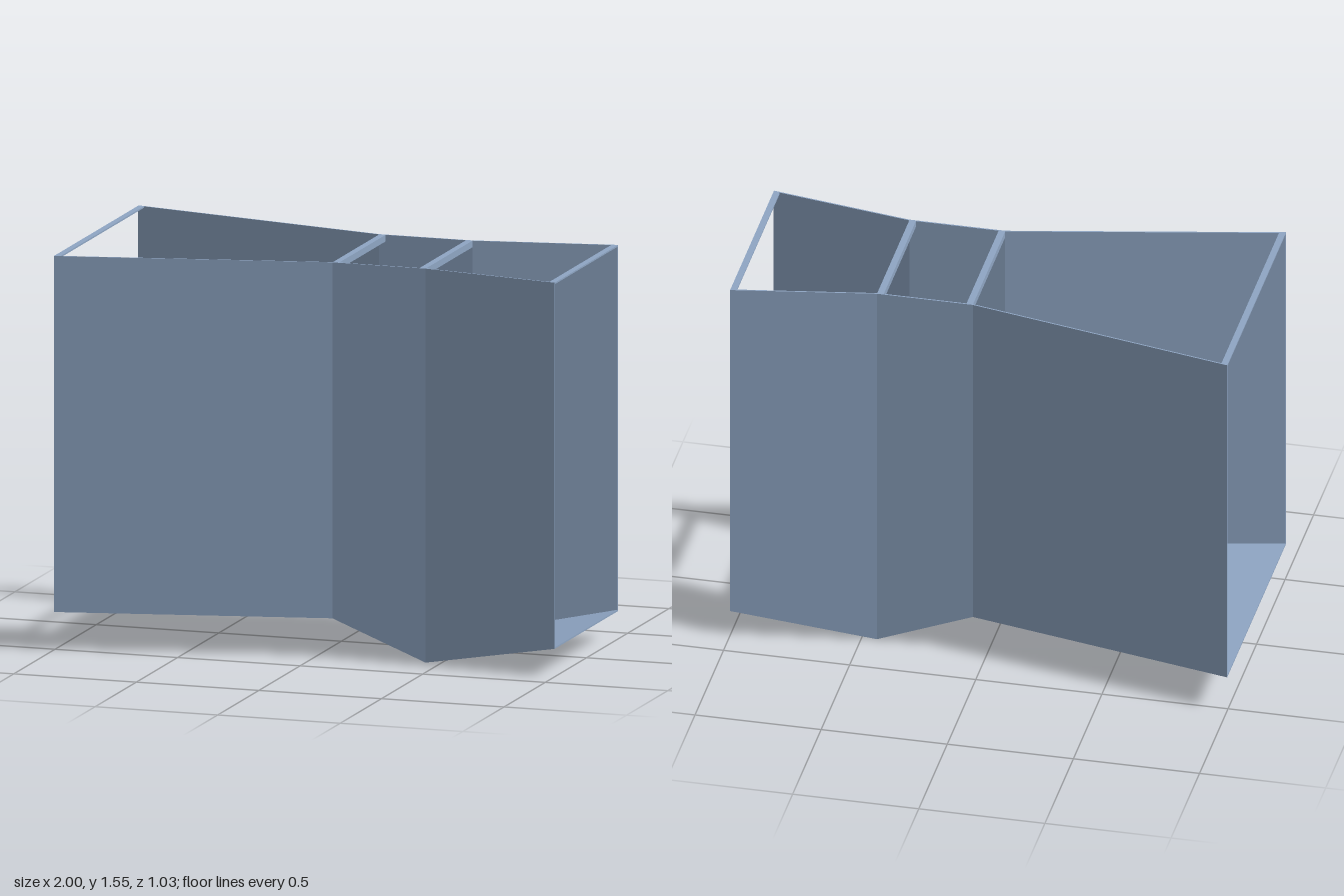
import * as THREE from 'three';

const TOP = 1.555, T = 0.006;

// Stations along the channel: x, outer half width, underside height
const stations = [
  { x: -1, w: 0.515, y: 0.15 },
  { x: 0.06, w: 0.287, y: 0.15 },
  { x: 0.44, w: 0.287, y: 0 },
  { x: 1, w: 0.385, y: 0.11 },
];

// Outer half width of the channel at any x
function widthAt(x) {
  let i = 0;
  while (i < stations.length - 2 && x > stations[i + 1].x) i++;
  const a = stations[i], b = stations[i + 1];
  return THREE.MathUtils.mapLinear(x, a.x, b.x, a.w, b.w);
}

// Flat-shaded solid through rectangular sections { x, y0, y1, z0, z1 } running towards +x
function loft(sections) {
  const rings = sections.map(({ x, y0, y1, z0, z1 }) =>
    [[x, y0, z1], [x, y0, z0], [x, y1, z0], [x, y1, z1]]);
  const pos = [];
  const quad = (a, b, c, d) => pos.push(...a, ...b, ...c, ...a, ...c, ...d);
  for (let i = 0; i < rings.length - 1; i++) {
    const r = rings[i], s = rings[i + 1];
    for (let k = 0; k < 4; k++) {
      const n = (k + 1) % 4;
      quad(r[k], r[n], s[n], s[k]);
    }
  }
  quad(...[...rings[0]].reverse());
  quad(...rings[rings.length - 1]);
  const g = new THREE.BufferGeometry();
  g.setAttribute('position', new THREE.Float32BufferAttribute(pos, 3));
  g.computeVertexNormals();
  return g;
}

export function createModel() {
  const group = new THREE.Group();
  group.name = 'flume';
  const material = new THREE.MeshStandardMaterial({ color: 0x8fa6c4 });
  const add = (name, sections) => {
    const mesh = new THREE.Mesh(loft(sections), material);
    mesh.name = name;
    group.add(mesh);
  };

  // Side walls: converging, throat and diverging sections
  add('leftWall', stations.map(({ x, w, y }) => ({ x, y0: y, y1: TOP, z0: w - T, z1: w })));
  add('rightWall', stations.map(({ x, w, y }) => ({ x, y0: y, y1: TOP, z0: -w, z1: -w + T })));

  // Floor: level, dropping through the throat, then rising
  add('floor', stations.map(({ x, w, y }) => ({ x, y0: y, y1: y + T, z0: -w + T, z1: w - T })));

  // Cross braces between the wall tops: thin at the ends, deeper at the throat
  const braces = [
    ['inletBrace', -1, -0.975, T],
    ['throatInletBrace', 0.06, 0.086, 0.026],
    ['throatOutletBrace', 0.414, 0.44, 0.026],
    ['outletBrace', 0.975, 1, T],
  ];
  for (const [name, x0, x1, depth] of braces) {
    add(name, [x0, x1].map((x) => {
      const w = widthAt(x) - T;
      return { x, y0: TOP - depth, y1: TOP, z0: -w, z1: w };
    }));
  }
  return group;
}
